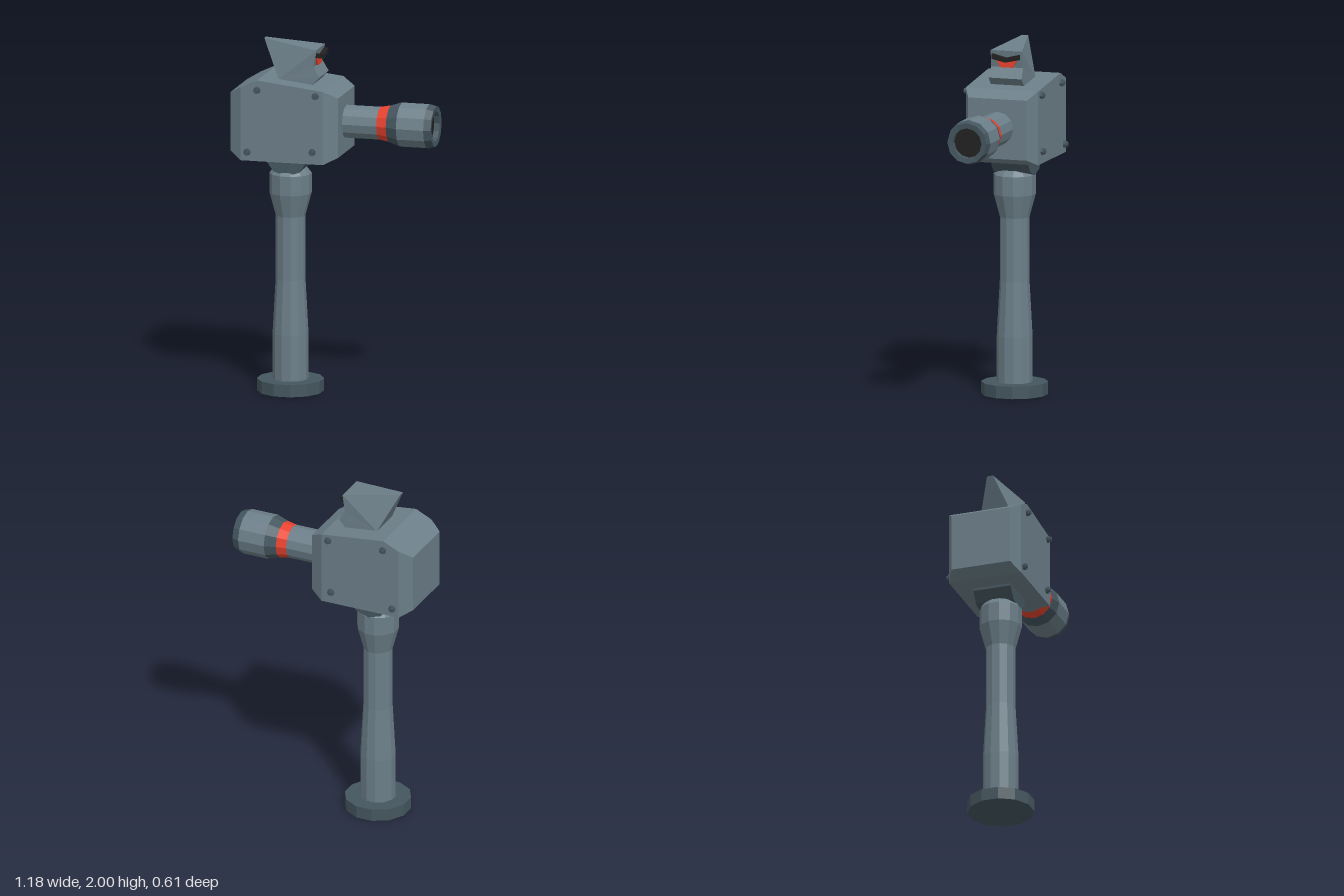
import * as THREE from 'three';

const mat = (color) => new THREE.MeshStandardMaterial({ color, flatShading: true, side: THREE.DoubleSide });
const steel = mat(0x6c7f89);
const dark = mat(0x45565f);
const red = mat(0xe8432f);
const black = mat(0x222222);

function add(parent, name, geometry, material, x = 0, y = 0, z = 0) {
  const mesh = new THREE.Mesh(geometry, material);
  mesh.name = name;
  mesh.position.set(x, y, z);
  parent.add(mesh);
  return mesh;
}

// 12-sided turned part from [radius, height] pairs
const turned = (pts) => new THREE.LatheGeometry(pts.map(([r, y]) => new THREE.Vector2(r, y)), 12);

// Mirrored shell: outline of [x, y, halfWidth], counter-clockwise; sides lists the side polygons
function shell(outline, sides) {
  const pos = [];
  const put = (i, s) => pos.push(outline[i][0], outline[i][1], s * outline[i][2]);
  outline.forEach((_, i) => {
    const j = (i + 1) % outline.length;
    put(i, 1); put(i, -1); put(j, -1);
    put(i, 1); put(j, -1); put(j, 1);
  });
  for (const f of sides) {
    for (let k = 1; k < f.length - 1; k++) {
      put(f[0], 1); put(f[k], 1); put(f[k + 1], 1);
      put(f[0], -1); put(f[k + 1], -1); put(f[k], -1);
    }
  }
  const g = new THREE.BufferGeometry();
  g.setAttribute('position', new THREE.Float32BufferAttribute(pos, 3));
  g.computeVertexNormals();
  return g;
}

export function createModel() {
  const model = new THREE.Group();
  model.name = 'cannonTower';

  // Stand
  const stand = new THREE.Group();
  stand.name = 'stand';
  stand.position.set(-0.25, 0, 0.03);
  model.add(stand);
  add(stand, 'basePlate', turned([[0, 0], [0.187, 0], [0.187, 0.07], [0, 0.07]]), dark);
  add(stand, 'pole', turned([
    [0.1, 0.07], [0.1, 0.33], [0.083, 0.64], [0.083, 1.0], [0.118, 1.13],
    [0.118, 1.24], [0.095, 1.27], [0, 1.27],
  ]), steel);

  // Turning head, swung about the pole
  const head = new THREE.Group();
  head.name = 'head';
  head.rotation.y = THREE.MathUtils.degToRad(15);
  head.position.set(-0.25, 0, 0.02);
  model.add(head);

  // Pivot under the body
  const pivot = new THREE.CylinderGeometry(0.125, 0.125, 0.22, 10).rotateX(Math.PI / 2);
  add(head, 'pivot', pivot, dark, 0, 1.365, 0);

  // Body with narrowed, chamfered ends
  const body = [
    [-0.305, 1.385, 0.172], [-0.235, 1.34, 0.213], [-0.14, 1.34, 0.213], [0.24, 1.34, 0.213], [0.317, 1.377, 0.172],
    [0.317, 1.715, 0.172], [0.24, 1.757, 0.213], [-0.14, 1.8, 0.213], [-0.235, 1.755, 0.213], [-0.305, 1.715, 0.172],
  ];
  add(head, 'body', shell(body, [0, 1, 2, 3].map((i) => [i, i + 1, 8 - i, 9 - i])), steel);

  // Bolts on both flanks
  for (const side of [1, -1]) {
    for (const [x, y] of [[-0.139, 1.745], [0.198, 1.73], [-0.196, 1.39], [0.18, 1.41]]) {
      const bolt = new THREE.Group();
      bolt.name = 'bolt';
      bolt.position.set(x, y, side * 0.213);
      head.add(bolt);
      add(bolt, 'boltWasher', new THREE.CylinderGeometry(0.02, 0.02, 0.016, 8).rotateX(Math.PI / 2), dark, 0, 0, side * 0.006);
      add(bolt, 'boltHead', new THREE.CylinderGeometry(0.014, 0.014, 0.012, 6).rotateX(Math.PI / 2), dark, 0, 0, side * 0.018);
    }
  }

  // Barrel, lying along x
  const barrel = new THREE.Group();
  barrel.name = 'barrel';
  barrel.position.y = 1.55;
  barrel.rotation.z = -Math.PI / 2;
  head.add(barrel);
  add(barrel, 'barrelTube', turned([[0.094, 0.3], [0.094, 0.515]]), steel);
  add(barrel, 'barrelBand', turned([[0.094, 0.515], [0.105, 0.573]]), red);
  add(barrel, 'barrelFlare', turned([[0.105, 0.573], [0.126, 0.637]]), dark);
  add(barrel, 'muzzle', turned([[0.126, 0.637], [0.126, 0.795]]), steel);
  add(barrel, 'muzzleRim', turned([[0.126, 0.795], [0.115, 0.835], [0.085, 0.832], [0.085, 0.8]]), dark);
  add(barrel, 'bore', turned([[0.085, 0.8], [0, 0.8]]), black);

  // Sight hood, tapering to a raised tail
  const hood = [
    [-0.152, 2.0, 0.018], [-0.046, 1.785, 0.098], [0.147, 1.765, 0.098],
    [0.188, 1.81, 0.097], [0.153, 1.868, 0.094], [0.168, 1.963, 0.092],
  ];
  add(head, 'sightHood', shell(hood, [[1, 2, 3, 4, 5, 0]]), steel);

  // Red eye and chevron brow on the hood front
  const eye = new THREE.Shape([[-0.067, 0.05], [-0.037, 0], [0.037, 0], [0.067, 0.05]].map((p) => new THREE.Vector2(...p)));
  const brow = new THREE.Shape([
    [-0.08, 0.012], [0, -0.005], [0.08, 0.012], [0.08, 0.04], [0, 0.02], [-0.08, 0.04],
  ].map((p) => new THREE.Vector2(...p)));
  const plate = (shape, depth) => new THREE.ExtrudeGeometry(shape, { depth, bevelEnabled: false }).rotateY(Math.PI / 2);
  add(head, 'sightEye', plate(eye, 0.012), red, 0.152, 1.868, 0);
  add(head, 'sightBrow', plate(brow, 0.035), black, 0.155, 1.905, 0);

  return model;
}
